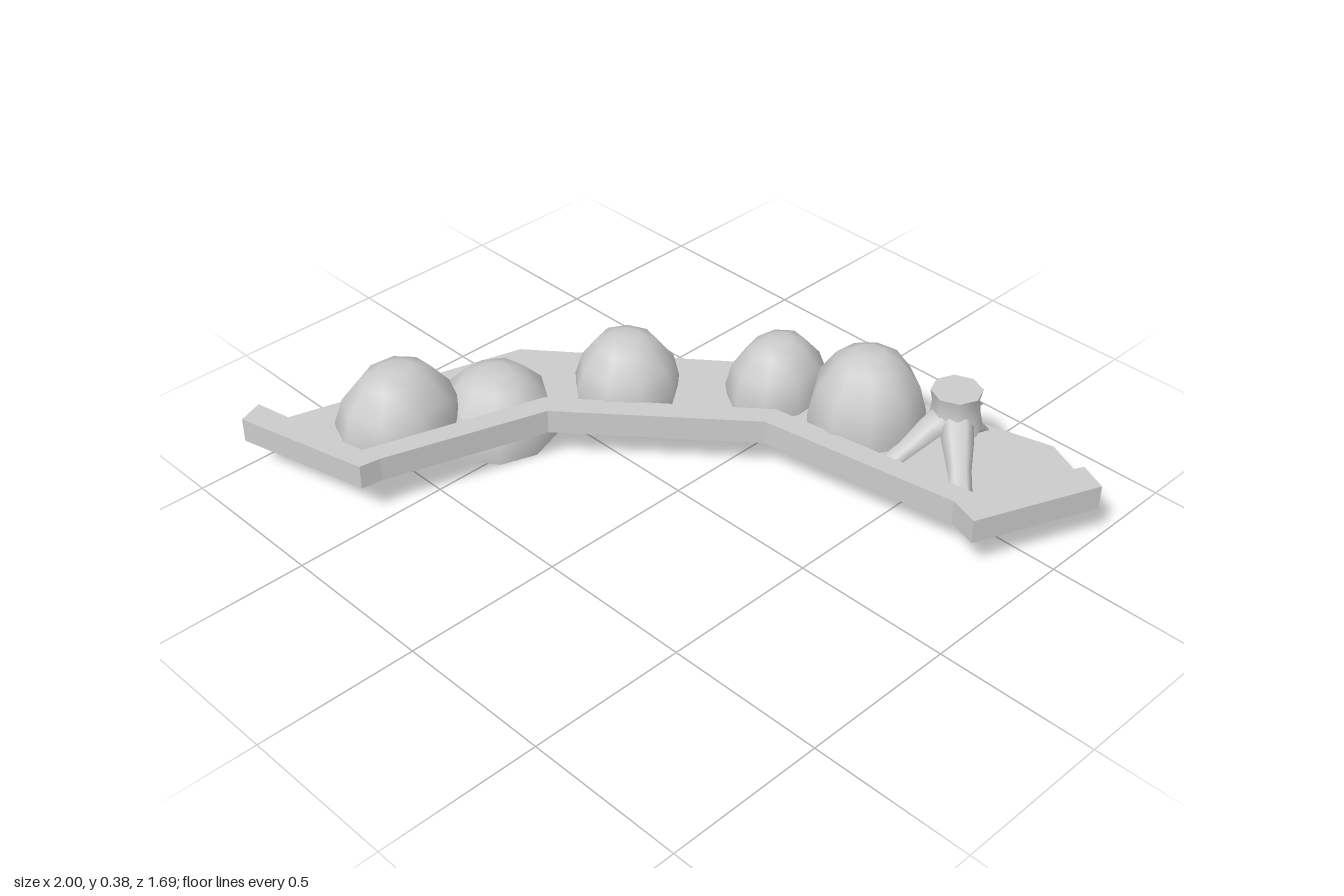
import * as THREE from 'three';

const material = new THREE.MeshStandardMaterial({ color: 0xcccccc, side: THREE.DoubleSide });

function add(group, name, geometry) {
  const mesh = new THREE.Mesh(geometry, material);
  mesh.name = name;
  group.add(mesh);
  return mesh;
}

// Shape from plan points [x, z]; lies flat after rotateX(-90 degrees)
const planShape = (points) => new THREE.Shape(points.map(([x, z]) => new THREE.Vector2(x, -z)));

// Rounded shrub: low-sided dome with a skirt, open underneath
function bushGeometry(seed) {
  const profile = [[0.97, 0], [1, 0.3], [0.87, 0.62], [0.56, 0.9], [0.28, 0.99], [0, 1]];
  const geometry = new THREE.LatheGeometry(profile.map(([r, y]) => new THREE.Vector2(r, y)), 9);
  const p = geometry.attributes.position;
  for (let i = 0; i < p.count; i++) {
    const x = p.getX(i), z = p.getZ(i), y = p.getY(i);
    const k = 1 + 0.025 * Math.sin(3 * Math.atan2(z, x) + seed + 4 * y);
    p.setX(i, x * k);
    p.setZ(i, z * k);
  }
  return geometry.rotateY(seed);
}

// Root: diamond cross-sections swept along [x, y, z, half width, half height]
function rootGeometry(stations) {
  const positions = [], index = [], sides = 6;
  stations.forEach(([x, y, z, w, h], i) => {
    const a = stations[Math.max(i - 1, 0)], b = stations[Math.min(i + 1, stations.length - 1)];
    const side = new THREE.Vector2(-(b[2] - a[2]), b[0] - a[0]).normalize();
    for (let j = 0; j < sides; j++) {
      const t = (j / sides) * Math.PI * 2;
      positions.push(x + side.x * w * Math.cos(t), y + h * Math.sin(t), z + side.y * w * Math.cos(t));
      if (i > 0) {
        const k = (j + 1) % sides, p = (i - 1) * sides, q = i * sides;
        index.push(p + j, p + k, q + j, p + k, q + k, q + j);
      }
    }
  });
  const last = (stations.length - 1) * sides;
  for (let j = 1; j < sides - 1; j++) index.push(last, last + j, last + j + 1);
  const geometry = new THREE.BufferGeometry();
  geometry.setAttribute('position', new THREE.Float32BufferAttribute(positions, 3));
  geometry.setIndex(index);
  geometry.computeVertexNormals();
  return geometry;
}

export function createModel() {
  const model = new THREE.Group();
  model.name = 'gardenBed';

  // Kerb running along the front edge and both ends
  const outer = [[-0.97, 0.85], [-0.54, 0.745], [-0.53, 0.68], [-0.37, 0.18], [0.12, -0.24],
    [0.75, -0.34], [0.845, -0.31], [1, -0.69]];
  const inner = [[-1, 0.77], [-0.6, 0.69], [-0.43, 0.14], [0.1, -0.31], [0.76, -0.41], [0.91, -0.73]];
  const kerb = new THREE.ExtrudeGeometry(planShape([...outer, ...inner.reverse()]),
    { depth: 0.078, bevelEnabled: false });
  add(model, 'kerb', kerb.rotateX(-Math.PI / 2)).position.y = 0.114;

  // Flat soil inside the kerb
  const soil = [[-0.95, 0.71], [-0.74, -0.03], [-0.05, -0.6], [0.75, -0.81], [0.93, -0.73],
    [0.79, -0.4], [0.1, -0.3], [-0.42, 0.14], [-0.58, 0.69], [-0.8, 0.715]];
  add(model, 'soil', new THREE.ShapeGeometry(planShape(soil)).rotateX(-Math.PI / 2)).position.y = 0.138;

  // Shrubs: x, base y, z, radius x, height, radius z
  const bushes = [
    [-0.7, 0.08, 0.48, 0.165, 0.25, 0.2],
    [-0.605, 0, 0.185, 0.185, 0.225, 0.185],
    [-0.345, 0.11, -0.12, 0.163, 0.225, 0.163],
    [-0.015, 0.11, -0.435, 0.14, 0.22, 0.17],
    [0.275, 0.11, -0.51, 0.175, 0.275, 0.18],
  ];
  bushes.forEach(([x, y, z, rx, h, rz], i) => {
    const bush = add(model, 'bush', bushGeometry(i * 0.9));
    bush.position.set(x, y, z);
    bush.scale.set(rx, h, rz);
  });

  // Tree stump with a flat cut top and splayed roots
  const stump = new THREE.Group();
  stump.name = 'stump';
  model.add(stump);
  const trunk = [[0.085, 0.2], [0.074, 0.25], [0.07, 0.29], [0.077, 0.325]];
  add(stump, 'trunk', new THREE.LatheGeometry(trunk.map(([r, y]) => new THREE.Vector2(r, y)), 8))
    .position.set(0.525, 0, -0.615);
  const cut = new THREE.CircleGeometry(0.077, 8).rotateX(-Math.PI / 2);
  add(stump, 'cutTop', cut).position.set(0.525, 0.325, -0.615);

  // Roots: end x, end z, end height, width
  const roots = [
    [0.43, -0.83, 0.13, 0.04],
    [0.71, -0.43, 0.14, 0.035],
    [0.46, -0.37, 0.14, 0.035],
    [0.555, -0.73, 0.15, 0.025],
  ];
  for (const [x, z, y, w] of roots) {
    const at = (t, height, half, thick) =>
      [0.525 + (x - 0.525) * t, height, -0.615 + (z + 0.615) * t, half, thick];
    add(stump, 'root', rootGeometry([
      at(0.1, 0.25, w * 1.5, 0.04), at(0.4, 0.212, w * 1.35, 0.035),
      at(0.7, 0.168, w, 0.025), at(1, y, w * 0.9, 0.008),
    ]));
  }
  return model;
}
